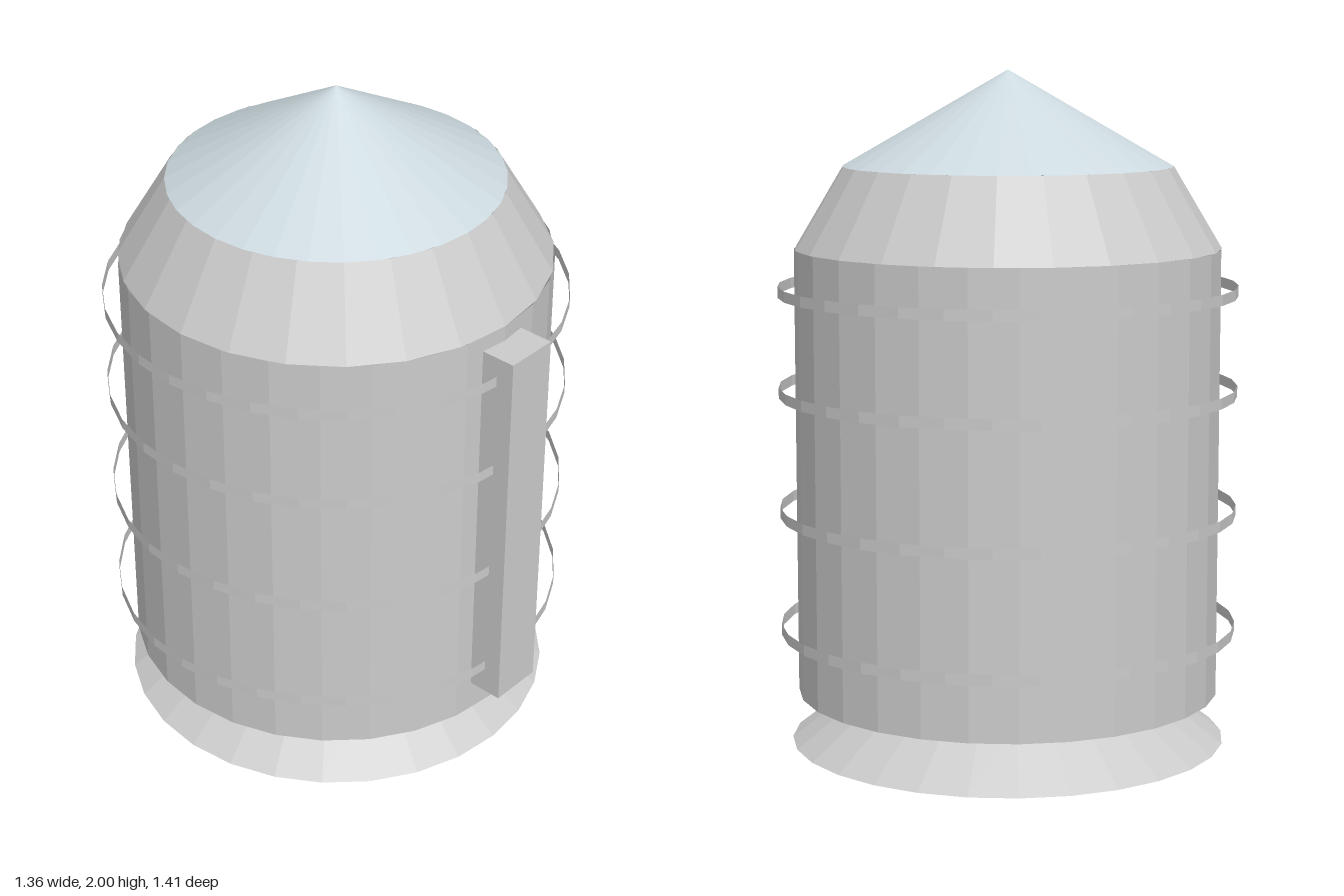
import * as THREE from 'three';

export function createModel() {
  const group = new THREE.Group();
  const axisZ = -0.022; // the round tower sits slightly behind the centre
  const grey = new THREE.MeshStandardMaterial({
    color: 0xcccccc, flatShading: true, side: THREE.DoubleSide,
  });
  const paleBlue = new THREE.MeshStandardMaterial({
    color: 0xccd9df, flatShading: true, side: THREE.DoubleSide,
  });

  // Round section between two heights
  function drum(name, rTop, rBottom, y0, y1, sides, open, material = grey) {
    const geo = new THREE.CylinderGeometry(rTop, rBottom, y1 - y0, sides, 1, open);
    const mesh = new THREE.Mesh(geo, material);
    mesh.name = name;
    mesh.position.set(0, (y0 + y1) / 2, axisZ);
    group.add(mesh);
  }

  drum('base', 0.455, 0.65, 0, 0.15, 28, false);
  drum('body', 0.63, 0.63, 0.15, 1.48, 28, true);
  drum('shoulder', 0.487, 0.63, 1.48, 1.72, 24, true);
  drum('roof', 0, 0.487, 1.72, 2, 32, false, paleBlue);

  // Thin open hoops standing off the wall
  [0.345, 0.7, 1.058, 1.356].forEach((y, i) =>
    drum(`hoop${i + 1}`, 0.68, 0.68, y - 0.016, y + 0.016, 32, true));

  // Upright chute, passing through the front wall
  const chute = new THREE.Mesh(new THREE.BoxGeometry(0.164, 1.185, 0.19), grey);
  chute.name = 'chute';
  chute.position.set(0, 0.84, 0.61);
  group.add(chute);

  return group;
}
